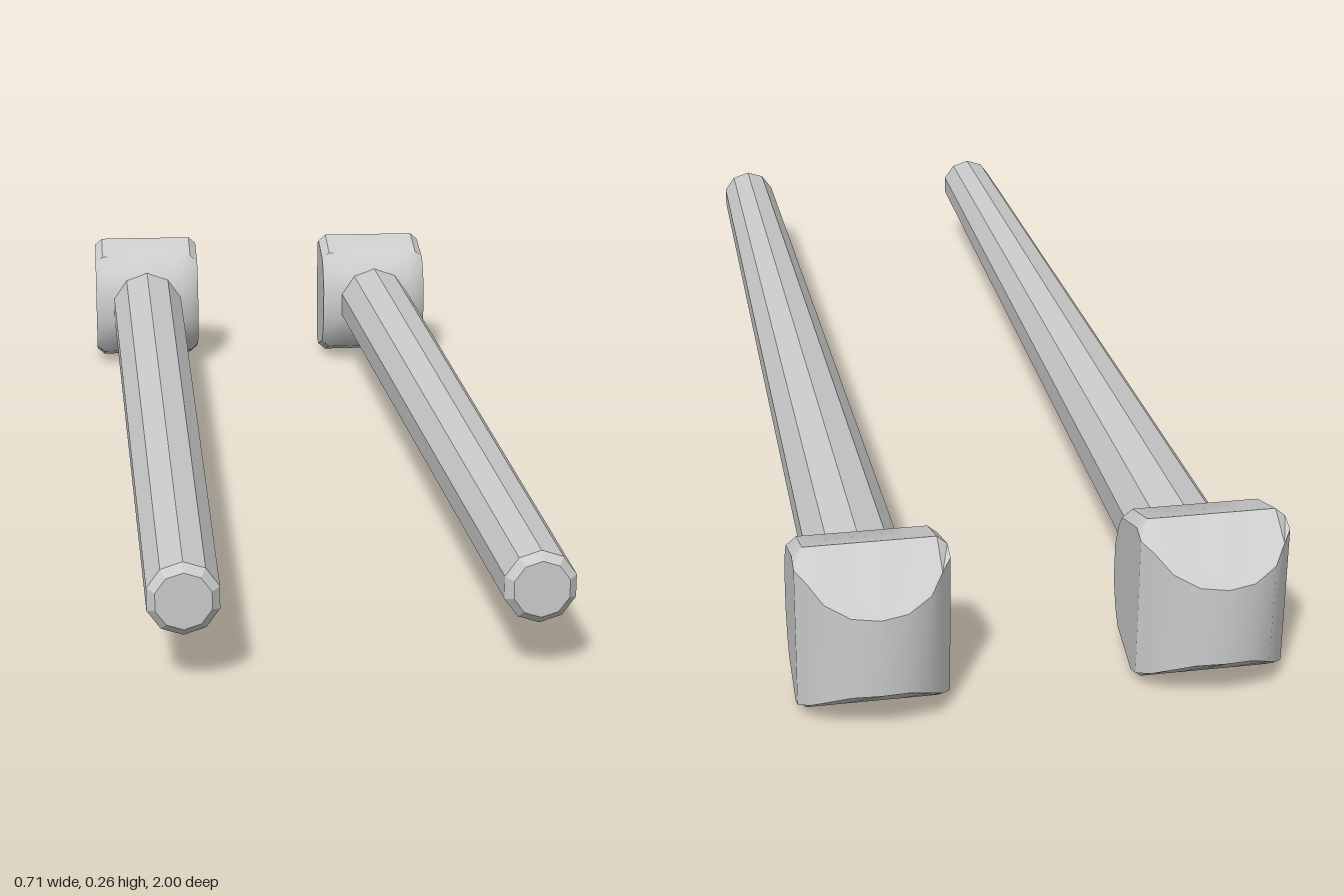
import * as THREE from 'three';
import { toCreasedNormals } from 'three/addons/utils/BufferGeometryUtils.js';

const CENTER_Y = 0.13;
const SPACING = 0.247;

// Half of the head, from the middle outwards:
// [x, front z, back z, half height of top, half height of back face]
const STATIONS = [
  [0, -0.765, -1.0, 0.13, 0.06],
  [0.04, -0.767, -0.993, 0.13, 0.063],
  [0.075, -0.772, -0.975, 0.13, 0.078],
  [0.095, -0.778, -0.947, 0.13, 0.098],
  [0.11, -0.788, -0.925, 0.117, 0.108],
];

// Closed outline of the head across its width, as [z, y] pairs
function headRing([, front, back, top, backY]) {
  const upper = [
    [back, backY],
    [-0.9, top],
    [-0.82, top - 0.025],
    [front - 0.015, 0.07],
    [front, 0.03],
  ];
  const lower = upper.map(([z, y]) => [z, -y]).reverse();
  return [...upper, ...lower];
}

function headGeometry() {
  const mirrored = STATIONS.slice(1).reverse().map(([x, ...rest]) => [-x, ...rest]);
  const stations = [...mirrored, ...STATIONS];
  const positions = [];
  const indices = [];
  const n = headRing(STATIONS[0]).length;
  for (const s of stations) {
    for (const [z, y] of headRing(s)) positions.push(s[0], y, z);
  }
  // Skin between neighbouring outlines
  for (let i = 0; i < stations.length - 1; i++) {
    for (let j = 0; j < n; j++) {
      const a = i * n + j;
      const b = i * n + ((j + 1) % n);
      indices.push(a, b, a + n, b, b + n, a + n);
    }
  }
  // Flat side faces
  const last = (stations.length - 1) * n;
  for (let k = 1; k < n - 1; k++) {
    indices.push(0, k + 1, k, last, last + k, last + k + 1);
  }
  const geometry = new THREE.BufferGeometry();
  geometry.setAttribute('position', new THREE.Float32BufferAttribute(positions, 3));
  geometry.setIndex(indices);
  return toCreasedNormals(geometry, THREE.MathUtils.degToRad(29));
}

// Ten-sided tapering handle with a chamfered tip, laid along z
function handleGeometry() {
  const profile = [
    [0, -0.85],
    [0.076, -0.85],
    [0.075, -0.75],
    [0.053, 0.988],
    [0.041, 1],
    [0, 1],
  ].map(([r, z]) => new THREE.Vector2(r, z));
  return new THREE.LatheGeometry(profile, 10).rotateX(Math.PI / 2);
}

export function createModel() {
  const model = new THREE.Group();
  model.name = 'malletPair';
  const smooth = new THREE.MeshStandardMaterial({ color: 0xcccccc });
  const faceted = new THREE.MeshStandardMaterial({ color: 0xcccccc, flatShading: true });
  const headGeo = headGeometry();
  const handleGeo = handleGeometry();

  for (const [name, side] of [['leftMallet', 1], ['rightMallet', -1]]) {
    const mallet = new THREE.Group();
    mallet.name = name;
    const head = new THREE.Mesh(headGeo, smooth);
    head.name = 'head';
    const handle = new THREE.Mesh(handleGeo, faceted);
    handle.name = 'handle';
    mallet.add(head, handle);
    mallet.position.set(side * SPACING, CENTER_Y, 0);
    model.add(mallet);
  }
  return model;
}
